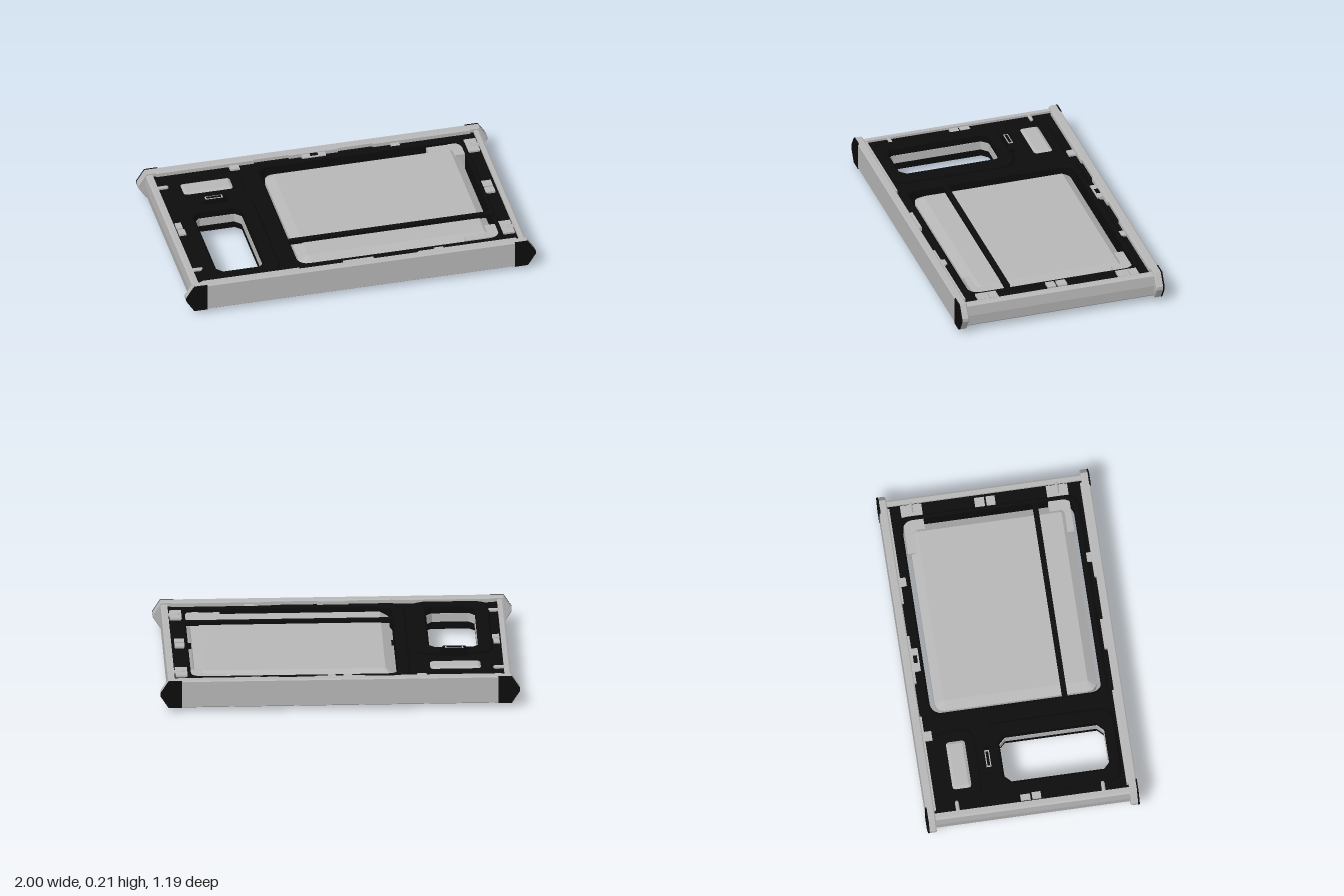
import * as THREE from 'three';

const MID = 0.11; // mid height; the model is the same above and below it

export function createModel() {
  const model = new THREE.Group();
  model.name = 'framedPanel';
  const grey = new THREE.MeshStandardMaterial({ color: 0xb6b6b6 });
  grey.name = 'light grey';
  const black = new THREE.MeshStandardMaterial({ color: 0x0c0c0c });
  black.name = 'black';

  const add = (name, geometry, material) => {
    const mesh = new THREE.Mesh(geometry, material);
    mesh.name = name;
    model.add(mesh);
    return mesh;
  };

  // Box given by its limits
  const box = (name, material, x0, x1, y0, y1, z0, z1) => {
    const g = new THREE.BoxGeometry(x1 - x0, y1 - y0, z1 - z0);
    g.translate((x0 + x1) / 2, (y0 + y1) / 2, (z0 + z1) / 2);
    return add(name, g, material);
  };

  // The same box above and below the mid height
  const boxPair = (name, material, x0, x1, y0, y1, z0, z1) => {
    box(name + 'Top', material, x0, x1, y0, y1, z0, z1);
    box(name + 'Bottom', material, x0, x1, 2 * MID - y1, 2 * MID - y0, z0, z1);
  };

  // Rectangle with cut (1 step) or rounded (more steps) corners
  const outline = ([x0, x1, z0, z1], r, steps, Type = THREE.Shape) => {
    const pts = [];
    const corners = [[x1 - r, z1 - r], [x0 + r, z1 - r], [x0 + r, z0 + r], [x1 - r, z0 + r]];
    corners.forEach(([cx, cz], k) => {
      for (let i = 0; i <= steps; i++) {
        const a = (k + i / steps) * Math.PI / 2;
        pts.push(new THREE.Vector2(cx + r * Math.cos(a), cz + r * Math.sin(a)));
      }
    });
    return new Type(pts);
  };

  // Horizontal slab, centred on the mid height, of a shape drawn in x and z
  const slab = (name, material, shape, holes, half, bevel = 0, rise = 0) => {
    shape.holes = holes;
    const depth = 2 * (half - rise);
    const g = new THREE.ExtrudeGeometry(shape, {
      depth, bevelEnabled: bevel > 0, bevelSize: bevel, bevelOffset: -bevel,
      bevelThickness: rise, bevelSegments: 1,
    });
    g.rotateX(Math.PI / 2).translate(0, MID + depth / 2, 0);
    return add(name, g, material);
  };

  // Black panel with a large and a small window
  const large = [-0.33, 0.825, -0.48, 0.485];
  const small = [-0.79, -0.515, -0.13, 0.46];
  const button = [-0.81, -0.49, -0.445, -0.3];
  const largeHole = () => outline(large, 0.06, 5, THREE.Path);
  const smallHole = () => outline(small, 0.035, 1, THREE.Path);
  slab('panel', black, outline([-0.925, 0.925, -0.55, 0.55], 0.01, 1),
    [largeHole(), smallHole()], 0.055);
  slab('largeWindowRim', black, outline([-0.4, 0.85, -0.515, 0.52], 0.08, 5), [largeHole()], 0.067, 0.012, 0.008);
  slab('smallWindowRim', black, outline([-0.87, -0.43, -0.2, 0.525], 0.07, 2), [smallHole()], 0.074, 0.012, 0.01);
  slab('buttonRim', black, outline([-0.86, -0.44, -0.49, -0.26], 0.06, 2), [], 0.062, 0.012, 0.006);

  // Grey lining half way down the small window
  slab('windowLining', grey, outline([-0.8, -0.505, -0.14, 0.47], 0.04, 1),
    [outline([-0.787, -0.518, -0.127, 0.457], 0.035, 1, THREE.Path)], 0.025);

  // Bevelled centre plate, its corner brackets and the band across it
  slab('centrePlate', grey, outline([-0.31, 0.8, -0.45, 0.46], 0.05, 3), [], 0.062, 0.05, 0.035);
  for (const [z0, z1] of [[-0.47, -0.4], [0.4, 0.465]]) {
    box('plateBracket', grey, 0.63, 0.83, 0.06, 0.16, z0, z1);
  }
  for (const [z0, z1] of [[-0.47, -0.355], [0.345, 0.465]]) {
    box('plateBracketEnd', grey, 0.75, 0.84, 0.058, 0.162, z0, z1);
  }
  boxPair('band', black, -0.335, 0.835, 0.168, 0.19, 0.255, 0.285);

  // Grey button showing on both faces
  slab('button', grey, outline(button, 0.035, 3), [], 0.071, 0.035, 0.02);

  // Raised black catch with a small grey frame
  const catchShape = new THREE.Shape([
    [-0.73, 0.19], [-0.71, 0.21], [-0.59, 0.21], [-0.57, 0.19],
    [-0.57, 0.03], [-0.59, 0.005], [-0.71, 0.005], [-0.73, 0.03],
  ].reverse().map(([x, y]) => new THREE.Vector2(x, y)));
  const catchGeo = new THREE.ExtrudeGeometry(catchShape, { depth: 0.04, bevelEnabled: false });
  add('catch', catchGeo.translate(0, 0, -0.225), black);
  boxPair('catchFrame', grey, -0.7, -0.6, 0.209, 0.2115, -0.222, -0.195);
  boxPair('catchFrameCentre', black, -0.692, -0.608, 0.2105, 0.213, -0.216, -0.201);

  // Front and back rails with pointed ends
  const railPoints = [[-0.955, 0.03], [0.955, 0.03], [1, 0.1], [1, 0.12],
    [0.955, 0.19], [-0.955, 0.19], [-1, 0.12], [-1, 0.1]];
  const railShape = () => new THREE.Shape(railPoints.map(([x, y]) => new THREE.Vector2(x, y)));
  for (const s of [1, -1]) {
    const side = s > 0 ? 'front' : 'back';
    const rail = new THREE.ExtrudeGeometry(railShape(), {
      depth: 0.035, bevelEnabled: true, bevelSize: 0.005, bevelOffset: -0.005,
      bevelThickness: 0.006, bevelSegments: 1,
    });
    rail.translate(0, 0, s > 0 ? 0.552 : -0.587);
    add(side + 'Rail', rail, grey);

    // Black caps on the outer corners of the rail
    for (const e of [1, -1]) {
      const pts = [[0.88, 0.03], [0.955, 0.03], [1, 0.1], [1, 0.12], [0.955, 0.19], [0.88, 0.19]]
        .map(([x, y]) => new THREE.Vector2(e * x, y));
      const cap = new THREE.ExtrudeGeometry(new THREE.Shape(pts), { depth: 0.009, bevelEnabled: false });
      cap.translate(0, 0, s > 0 ? 0.586 : -0.595);
      add(side + 'CornerCap', cap, black);

      // Stepped inner lip of the rail
      const [x0, x1] = e > 0 ? [0.34, 0.9] : [-0.9, -0.34];
      const [z0, z1] = s > 0 ? [0.536, 0.56] : [-0.56, -0.536];
      boxPair(side + 'RailLip', grey, x0, x1, 0.16, 0.186, z0, z1);
    }
  }

  // Side rails with softly bowed outer faces
  for (const e of [1, -1]) {
    const pts = [[0.918, 0.04], [0.945, 0.04], [0.956, 0.05], [0.962, 0.11],
      [0.956, 0.17], [0.945, 0.178], [0.918, 0.178]].map(([x, y]) => new THREE.Vector2(e * x, y));
    const g = new THREE.ExtrudeGeometry(new THREE.Shape(pts), { depth: 1.1, bevelEnabled: false });
    add(e > 0 ? 'leftRail' : 'rightRail', g.translate(0, 0, -0.55), grey);
  }

  // Latches on the back and front rails
  boxPair('backLatch', grey, -0.14, 0.14, 0.16, 0.187, -0.56, -0.535);
  boxPair('backLatchTongue', grey, -0.07, 0.065, 0.155, 0.183, -0.54, -0.5);
  boxPair('backLatchHole', black, -0.022, 0.022, 0.178, 0.186, -0.532, -0.51);
  boxPair('frontLatch', grey, -0.09, 0.085, 0.16, 0.187, 0.53, 0.56);

  // Small grey tabs along the panel edges
  const tabs = [
    [-0.485, -0.43, -0.55, -0.495], [0.44, 0.49, -0.55, -0.495], [0.435, 0.49, 0.505, 0.55],
    [0.845, 0.9, -0.06, -0.005], [0.845, 0.9, 0.005, 0.055],
    [-0.91, -0.875, -0.06, -0.005], [-0.91, -0.87, 0.005, 0.055],
    [0.845, 0.912, -0.475, -0.355], [0.845, 0.912, 0.345, 0.465],
  ];
  for (const [x0, x1, z0, z1] of tabs) boxPair('tab', grey, x0, x1, 0.15, 0.176, z0, z1);

  // Round pins at the four corners of the panel
  for (const e of [1, -1]) {
    for (const z of [-0.415, 0.405]) {
      for (const y of [0.17, 0.05]) {
        const pin = new THREE.CapsuleGeometry(0.011, 0.045, 3, 8);
        pin.rotateZ(Math.PI / 2).translate(e * 0.892, y + (y > MID ? 0.003 : -0.003), z);
        add('pin', pin, grey);
      }
    }
  }

  return model;
}
